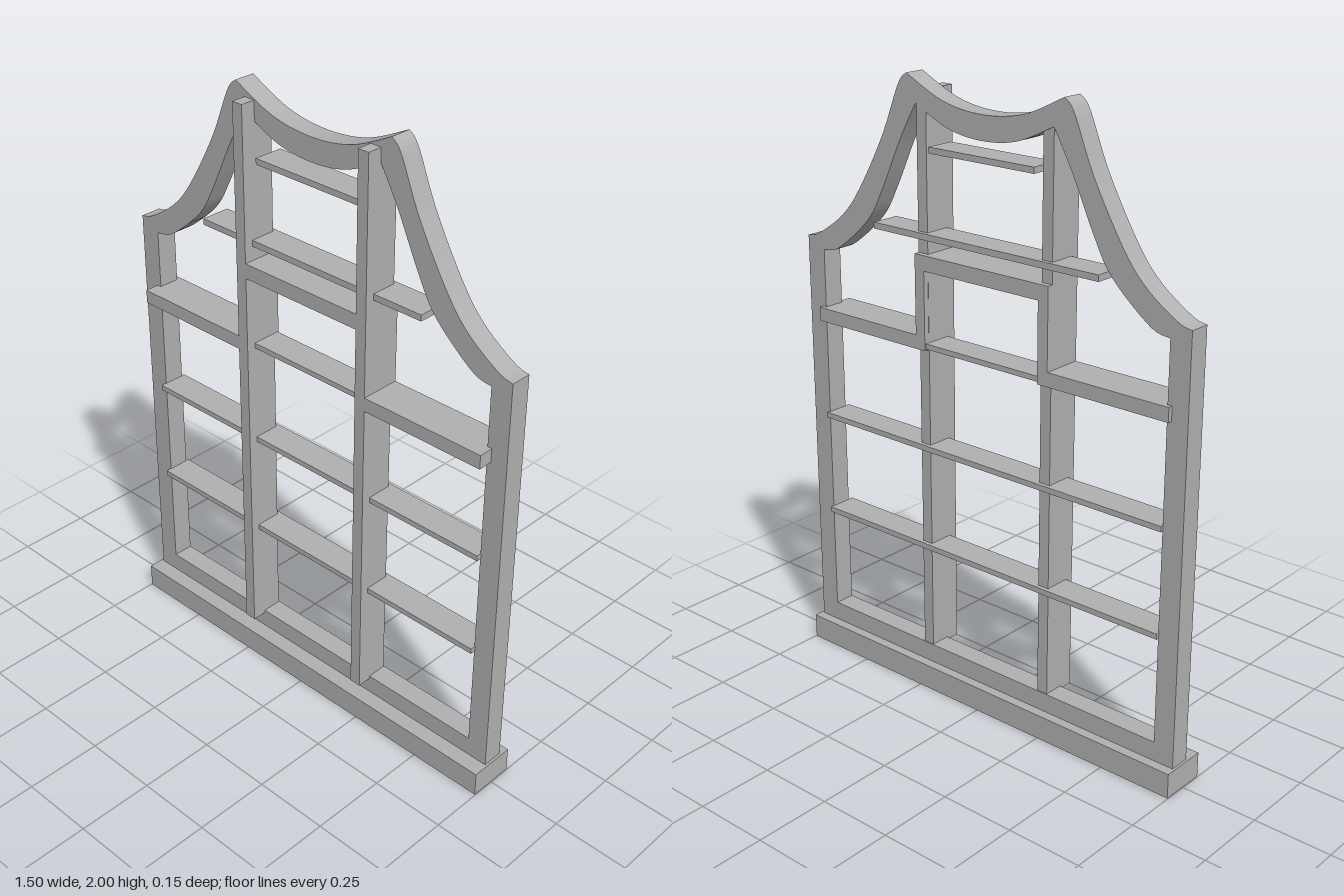
import * as THREE from 'three';

const V = (x, y) => new THREE.Vector2(x, y);
const flip = (pts) => pts.map((p) => V(-p.x, p.y)).reverse();

export function createModel() {
  const model = new THREE.Group();
  const grey = new THREE.MeshStandardMaterial({ color: 0xb0b0b0 });
  grey.name = 'plain grey';

  const add = (name, geometry) => {
    const mesh = new THREE.Mesh(geometry, grey);
    mesh.name = name;
    model.add(mesh);
  };
  // box given by its limits on each axis
  const box = (name, x0, x1, y0, y1, z0, z1) => {
    const g = new THREE.BoxGeometry(x1 - x0, y1 - y0, z1 - z0);
    g.translate((x0 + x1) / 2, (y0 + y1) / 2, (z0 + z1) / 2);
    add(name, g);
  };
  const extrude = (name, shape, z0, z1) => {
    const g = new THREE.ExtrudeGeometry(shape, { depth: z1 - z0, bevelEnabled: false });
    g.translate(0, 0, z0);
    add(name, g);
  };
  const spline = (pts, n = 28) =>
    new THREE.SplineCurve(pts.map(([x, y]) => V(x, y))).getPoints(n);

  // Plinth
  box('base', -0.748, 0.748, 0, 0.082, -0.077, 0.077);

  // Outer frame: straight stiles, sweeping shoulders and a sagging crown
  const outerSide = spline([[0.74, 1.437], [0.69, 1.452], [0.585, 1.525], [0.505, 1.62],
    [0.4, 1.8], [0.33, 1.962], [0.295, 2.0]]);
  const outerCrown = spline([[0.295, 2.0], [0.15, 1.935], [0, 1.915], [-0.15, 1.935], [-0.295, 2.0]]);
  const innerSide = spline([[0.67, 1.4], [0.6, 1.42], [0.47, 1.53], [0.405, 1.635],
    [0.325, 1.8], [0.26, 1.915]]);
  const innerCrown = spline([[0.26, 1.915], [0.13, 1.857], [0, 1.84], [-0.13, 1.857], [-0.26, 1.915]]);
  const outline = (x, y, side, crown) => [V(-x, y), V(x, y), ...side,
    ...crown.slice(1, -1), ...flip(side)];
  const frame = new THREE.Shape(outline(0.74, 0.08, outerSide, outerCrown));
  frame.holes.push(new THREE.Path(outline(0.67, 0.145, innerSide, innerCrown).reverse()));
  extrude('outerFrame', frame, -0.045, 0.024);

  // Uprights
  for (const s of [-1, 1]) {
    box(s > 0 ? 'leftUpright' : 'rightUpright',
      s * 0.24 - 0.019, s * 0.24 + 0.019, 0.135, 1.96, -0.042, 0.072);
  }

  // Stepped transom: side arms joined by a raised middle
  const top = [V(0.685, 1.165), V(0.685, 1.21), V(0.259, 1.21), V(0.259, 1.467)];
  const under = [V(0.222, 1.418), V(0.222, 1.165)];
  extrude('steppedTransom', new THREE.Shape([...top, ...flip(top),
    ...flip(under), ...under]), -0.06, 0.072);

  // Shelves: half width, bottom, top
  const shelves = [[0.672, 0.492, 0.51], [0.672, 0.832, 0.85], [0.222, 1.171, 1.188],
    [0.433, 1.513, 1.533], [0.2, 1.778, 1.797]];
  for (const [w, y0, y1] of shelves) box('shelf', -w, w, y0, y1, -0.056, 0.042);

  return model;
}
